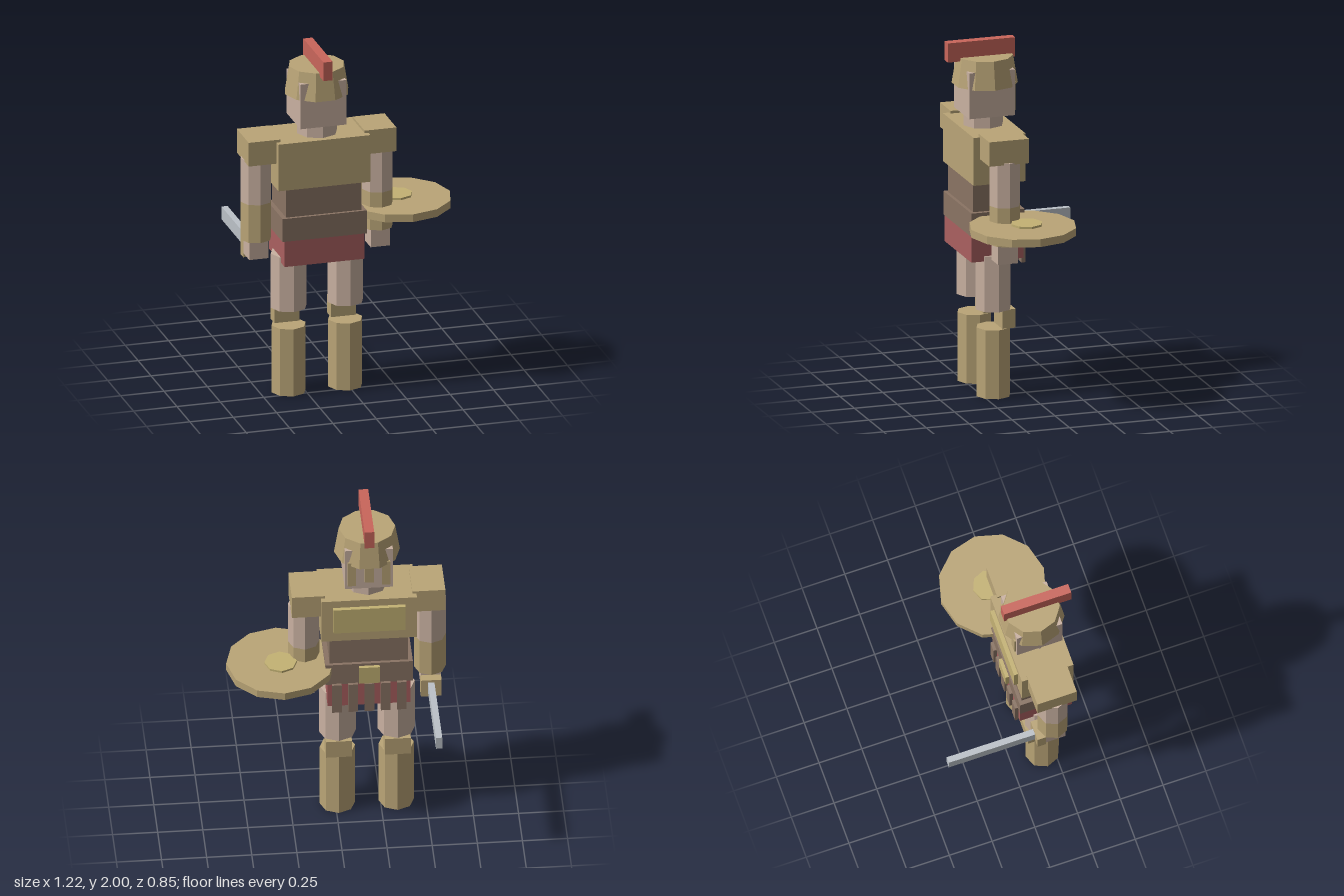
import * as THREE from 'three';

const MID_X = -0.175; // body axis
const MID_Z = 0.183;

export function createModel() {
  const model = new THREE.Group();
  model.name = 'ancientWarrior';

  const mat = (name, color) => {
    const m = new THREE.MeshStandardMaterial({ color });
    m.name = name;
    return m;
  };
  const bronze = mat('bronze', 0xbaa577);
  const brass = mat('brass', 0xc4b274);
  const skin = mat('skin', 0xc9b1a1);
  const leather = mat('leather', 0x8a7464);
  const crestRed = mat('crestRed', 0xc9665b);
  const clothRed = mat('clothRed', 0xaa6060);
  const steel = mat('steel', 0xbcc2c8);

  // Adds a faceted mesh
  const add = (name, geometry, material, x, y, z) => {
    const flat = geometry.toNonIndexed();
    flat.computeVertexNormals();
    const mesh = new THREE.Mesh(flat, material);
    mesh.name = name;
    mesh.position.set(x, y, z);
    model.add(mesh);
    return mesh;
  };
  // Box from its limits on each axis
  const box = (name, material, x0, x1, y0, y1, z0, z1) =>
    add(name, new THREE.BoxGeometry(x1 - x0, y1 - y0, z1 - z0), material,
      (x0 + x1) / 2, (y0 + y1) / 2, (z0 + z1) / 2);
  // Box given by its centre and width in x
  const slab = (name, material, cx, w, y0, y1, z0, z1) =>
    box(name, material, cx - w / 2, cx + w / 2, y0, y1, z0, z1);
  // Upright prism, optionally tapered
  const prism = (name, material, x, z, y0, y1, r, sides = 8, rTop = r) =>
    add(name, new THREE.CylinderGeometry(rTop, r, y1 - y0, sides), material, x, (y0 + y1) / 2, z);

  // Head, helmet and crest
  slab('head', skin, MID_X, 0.266, 1.585, 1.848, 0.05, 0.316);
  prism('neck', skin, MID_X, MID_Z + 0.007, 1.5, 1.6, 0.115);
  prism('helmet', bronze, MID_X, MID_Z - 0.002, 1.75, 1.91, 0.183, 10, 0.157).rotation.y = Math.PI / 10;
  slab('crest', crestRed, MID_X, 0.053, 1.89, 2.0, 0.012, 0.405);
  slab('noseGuard', bronze, MID_X, 0.05, 1.645, 1.81, 0.02, 0.06);
  for (const s of [-1, 1]) slab('cheekGuard', bronze, MID_X + s * 0.095, 0.045, 1.61, 1.77, 0.04, 0.07);

  // Torso
  slab('chestArmour', bronze, MID_X, 0.53, 1.24, 1.515, 0.033, 0.335);
  slab('chestPlate', brass, MID_X, 0.4, 1.31, 1.47, 0.01, 0.04);
  slab('waist', leather, MID_X, 0.435, 1.05, 1.25, 0.048, 0.322);
  slab('belt', leather, MID_X, 0.485, 0.94, 1.075, 0.03, 0.34);
  slab('buckle', brass, MID_X, 0.115, 0.952, 1.06, 0.01, 0.04);
  slab('skirt', clothRed, MID_X, 0.46, 0.79, 0.945, 0.033, 0.337);
  for (let i = -2; i <= 2; i++) {
    slab('skirtStrip', leather, MID_X + i * 0.09, 0.053, 0.757, 0.945, 0.013, 0.036);
  }

  // Limbs, mirrored about the body axis
  for (const s of [-1, 1]) {
    const armX = MID_X + s * 0.35;
    slab('shoulderGuard', bronze, MID_X + s * 0.334, 0.183, 1.39, 1.53, 0.067, 0.298);
    prism('upperArm', skin, armX, MID_Z, 1.143, 1.4, 0.088);
    prism('bracer', bronze, armX, MID_Z, 0.92, 1.143, 0.088);
    slab('hand', skin, armX, 0.11, 0.815, 0.925, 0.125, 0.24);

    const legX = MID_X + s * 0.163;
    prism('thigh', skin, legX, MID_Z + 0.005, 0.5, 0.82, 0.103);
    slab('kneeGuard', bronze, legX, 0.145, 0.395, 0.503, 0.08, 0.158);
    prism('greave', bronze, legX, MID_Z + 0.003, 0, 0.395, 0.098);
  }

  // Sword in the right hand
  slab('swordBlade', steel, -0.523, 0.035, 0.81, 0.885, -0.43, 0.08);
  slab('swordGuard', bronze, -0.523, 0.115, 0.79, 0.9, 0.075, 0.125);

  // Flat-held shield with a boss on both sides
  prism('shield', bronze, 0.31, 0.123, 1.01, 1.055, 0.3, 12);
  prism('shieldBoss', brass, 0.31, 0.1, 0.998, 1.067, 0.09);

  return model;
}
